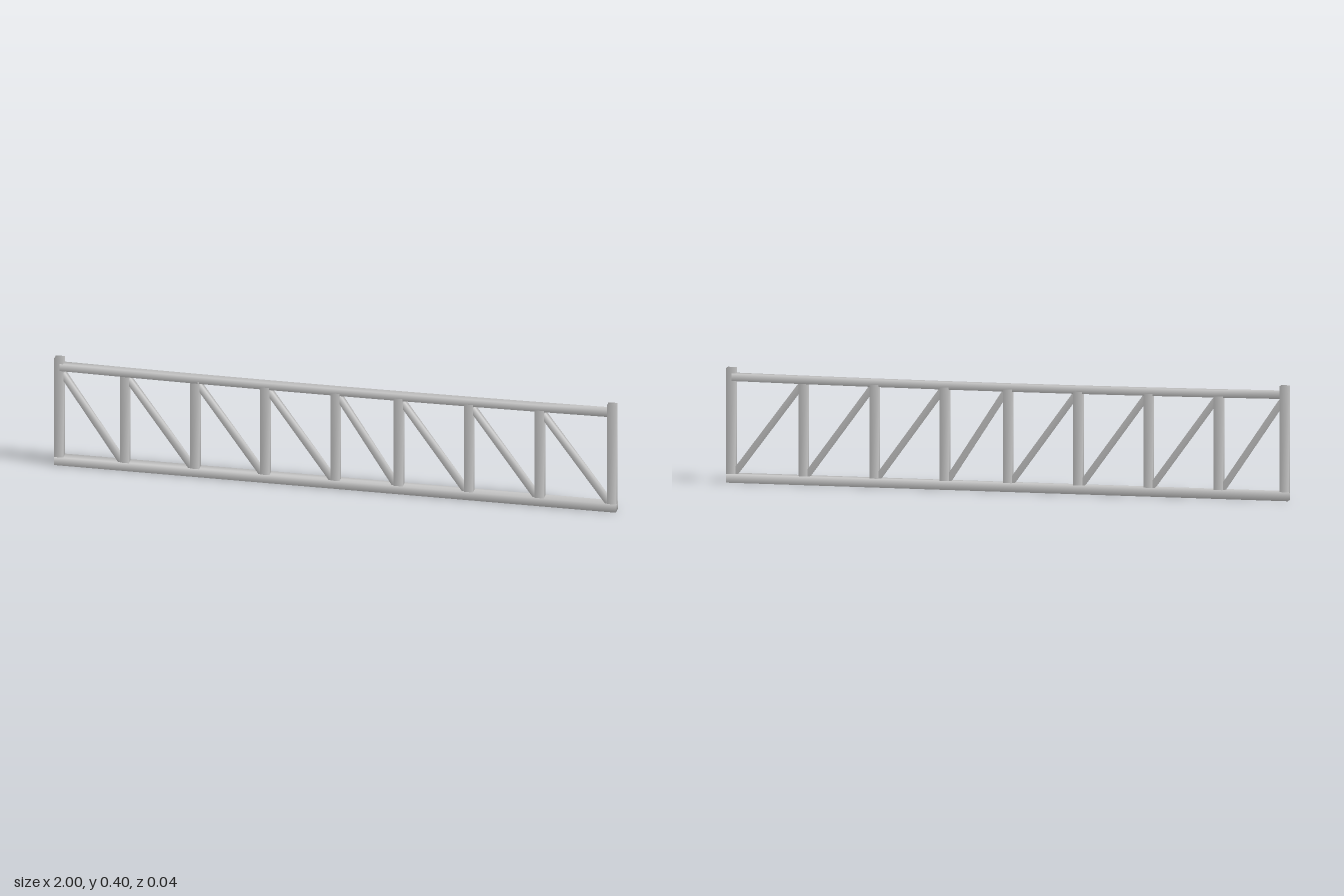
import * as THREE from 'three';
import { mergeVertices } from 'three/addons/utils/BufferGeometryUtils.js';

const steel = new THREE.MeshStandardMaterial({ color: 0xcccccc });

// Box with shared corners, so its shading is smooth
function softBox(w, h, d, segments = 1) {
  const box = new THREE.BoxGeometry(w, h, d, segments, 1, 1);
  box.deleteAttribute('uv');
  box.deleteAttribute('normal');
  const geometry = mergeVertices(box);
  geometry.computeVertexNormals();
  return geometry;
}

export function createModel() {
  const group = new THREE.Group();
  const add = (name, geometry, x, y, z) => {
    const mesh = new THREE.Mesh(geometry, steel);
    mesh.name = name;
    mesh.position.set(x, y, z);
    group.add(mesh);
    return mesh;
  };

  // Bottom rail, the full length
  add('bottomRail', softBox(2, 0.03, 0.038), 0, 0.015, 0);

  // Top rail, sagging slightly in the middle and a little askew
  const rail = softBox(1.96, 0.026, 0.027, 8);
  const p = rail.attributes.position;
  for (let i = 0; i < p.count; i++) {
    const t = p.getX(i) / 0.98;
    p.setY(i, p.getY(i) - 0.006 * (1 - t * t));
    p.setZ(i, p.getZ(i) - 0.003 * t);
  }
  rail.computeVertexNormals();
  add('topRail', rail, 0, 0.371, 0.003);

  // Posts: tall ones at the ends, shorter ones under the top rail
  const xs = [-0.984, -0.75, -0.5, -0.25, 0, 0.225, 0.475, 0.727, 0.984];
  xs.forEach((x, i) => {
    const end = i === 0 || i === xs.length - 1;
    const top = end ? 0.403 : 0.36;
    add(end ? 'endPost' : 'post', softBox(0.032, top - 0.025, 0.03), x, (top + 0.025) / 2, 0.003);
  });

  // Diagonal braces falling from each post to the foot of the next
  for (let i = 0; i < xs.length - 1; i++) {
    const a = new THREE.Vector2(xs[i] + 0.012, 0.345);
    const b = new THREE.Vector2(xs[i + 1] - 0.012, 0.032);
    const brace = add('brace', softBox(a.distanceTo(b), 0.022, 0.02),
      (a.x + b.x) / 2, (a.y + b.y) / 2, 0.003);
    brace.rotation.z = Math.atan2(b.y - a.y, b.x - a.x);
  }
  return group;
}
